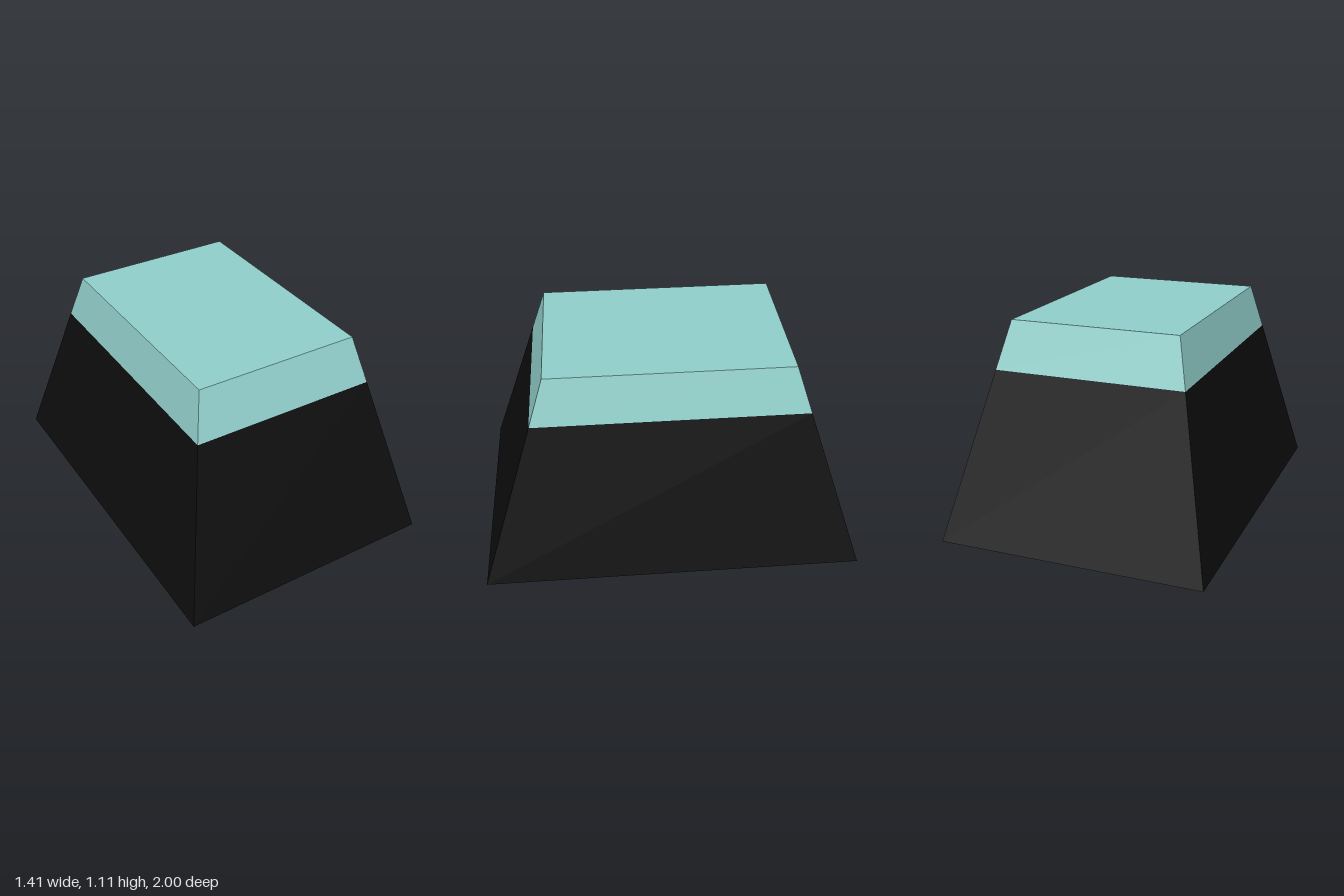
import * as THREE from 'three';

// Half sizes of the rectangular section at each level: [y, half x, half z]
const BOTTOM = [0, 0.705, 1];
const SEAM = [0.865, 0.507, 0.717];
const TOP = [1.113, 0.449, 0.636];

// A box whose lower and upper rectangles differ in size
function taperedBlock(name, lower, upper, color) {
  const geometry = new THREE.BoxGeometry(2, 1, 2);
  const p = geometry.attributes.position;
  for (let i = 0; i < p.count; i++) {
    const [y, hx, hz] = p.getY(i) > 0 ? upper : lower;
    p.setXYZ(i, p.getX(i) * hx, y, p.getZ(i) * hz);
  }
  geometry.computeVertexNormals();
  const material = new THREE.MeshStandardMaterial({ color, flatShading: true });
  const mesh = new THREE.Mesh(geometry, material);
  mesh.name = name;
  return mesh;
}

export function createModel() {
  const model = new THREE.Group();
  model.name = 'taperedBlock';
  // Dark lower body and pale teal cap, sharing one continuous slope
  model.add(taperedBlock('base', BOTTOM, SEAM, 0x0e0e0e));
  model.add(taperedBlock('cap', SEAM, TOP, 0x93d1cd));
  return model;
}
